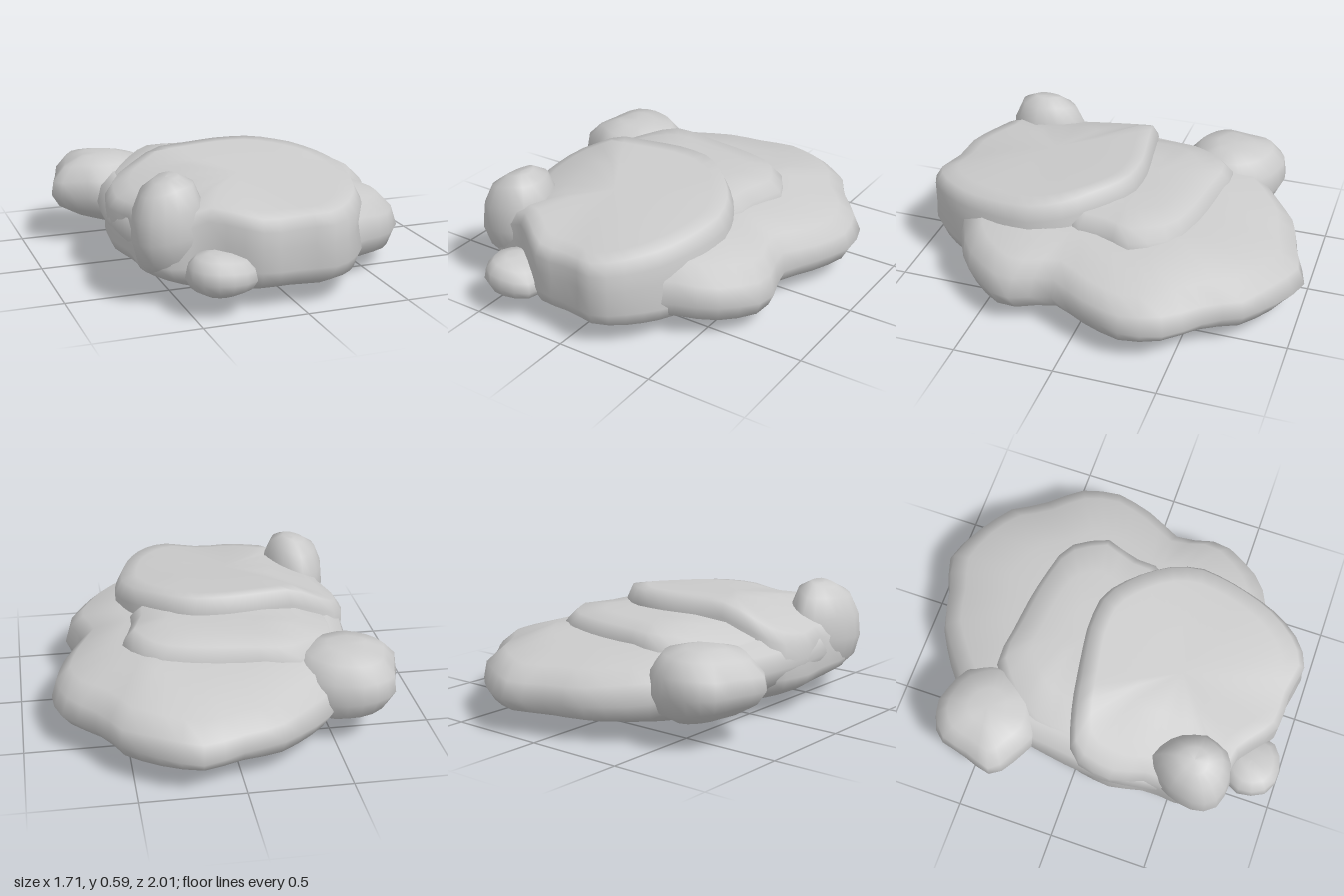
import * as THREE from 'three';

const material = new THREE.MeshStandardMaterial({ color: 0xcccccc });
const bump = (x, z, cx, cz, r) => Math.exp(-((x - cx) ** 2 + (z - cz) ** 2) / (r * r));

// Profiles from bottom to top: [outline scale, height fraction]
const ROUND = [[0, 0], [0.45, 0], [0.8, 0.04], [0.95, 0.2], [1, 0.45], [0.97, 0.75], [0.87, 0.94], [0.6, 1], [0.3, 1], [0, 1]];
const STEEP = [[0, 0], [0.45, 0], [0.84, 0.04], [0.95, 0.12], [1, 0.3], [0.98, 0.6], [0.99, 0.85], [0.93, 0.99], [0.8, 1], [0.4, 1], [0, 1]];
const BALL = [[0, 0], [0.5, 0.04], [0.85, 0.2], [1, 0.45], [0.95, 0.72], [0.72, 0.93], [0.35, 1], [0, 1]];

// Stone slab: a closed [x, z] outline swept through a profile between two height fields
function slab(name, outline, bottom, top, profile, segments, wobble = 0.01) {
  const curve = new THREE.CatmullRomCurve3(
    outline.map(([x, z]) => new THREE.Vector3(x, 0, z)), true, 'catmullrom', 0.35);
  const ring = curve.getSpacedPoints(segments).slice(0, segments);
  const centre = ring.reduce((s, p) => s.add(p), new THREE.Vector3()).divideScalar(segments);
  const positions = [], index = [];
  profile.forEach(([scale, t], i) => {
    ring.forEach((p, j) => {
      const a = (j / segments) * Math.PI * 2;
      const k = scale * (1 + wobble * Math.sin(a * 7 + i * 1.9) * Math.sin(t * Math.PI));
      const x = centre.x + (p.x - centre.x) * k;
      const z = centre.z + (p.z - centre.z) * k;
      positions.push(x, THREE.MathUtils.lerp(bottom(x, z), top(x, z), t), z);
      if (i === profile.length - 1) return;
      const n = (j + 1) % segments, lo = i * segments, hi = lo + segments;
      if (profile[i + 1][0] > 0) index.push(lo + j, hi + j, hi + n);
      if (scale > 0) index.push(lo + j, hi + n, lo + n);
    });
  });
  const geometry = new THREE.BufferGeometry();
  geometry.setAttribute('position', new THREE.Float32BufferAttribute(positions, 3));
  geometry.setIndex(index);
  geometry.computeVertexNormals();
  const mesh = new THREE.Mesh(geometry, material);
  mesh.name = name;
  return mesh;
}

export function createModel() {
  const rock = new THREE.Group();
  rock.name = 'rock';

  // Broad bottom ledge
  const underside = (x, z) => 0.055 - 0.055 * bump(x, z, -0.13, 0.35, 0.4)
    - 0.03 * bump(x, z, 0.62, 0.4, 0.25) + 0.3 * Math.max(0, -x - 0.42);
  rock.add(slab('baseLedge', [
    [0.2, -1], [0.4, -0.92], [0.57, -0.79], [0.63, -0.66], [0.8, -0.47], [0.85, -0.27], [0.78, -0.05],
    [0.69, 0.13], [0.75, 0.35], [0.7, 0.47], [0.58, 0.62], [0.4, 0.71], [0.2, 0.8], [-0.2, 0.8],
    [-0.5, 0.7], [-0.65, 0.5], [-0.7, 0.2], [-0.66, -0.2], [-0.62, -0.45], [-0.45, -0.7], [-0.2, -0.89], [0, -0.94],
  ], underside,
  (x, z) => 0.41 - 0.22 * Math.max(0, x - 0.4) - 0.17 * Math.max(0, -z - 0.45), ROUND, 52));

  // Middle terrace behind the top block
  rock.add(slab('middleTerrace', [
    [-0.35, -0.52], [-0.1, -0.5], [0.15, -0.47], [0.38, -0.4], [0.5, -0.2], [0.44, -0.06],
    [0.4, 0.15], [0, 0.3], [-0.4, 0.2], [-0.62, 0], [-0.6, -0.28],
  ], () => 0.2, (x, z) => 0.485 - 0.05 * Math.max(0, -z - 0.3) - 0.35 * Math.max(0, -x - 0.35), ROUND, 32));

  // Tall front block with a gently tilted flat top
  rock.add(slab('topBlock', [
    [-0.05, -0.14], [0.15, -0.12], [0.3, -0.01], [0.42, 0.13], [0.48, 0.3], [0.46, 0.5], [0.4, 0.7],
    [0.3, 0.86], [0.17, 0.96], [0, 0.93], [-0.2, 0.92], [-0.4, 0.78], [-0.6, 0.74], [-0.68, 0.6],
    [-0.66, 0.4], [-0.71, 0.2], [-0.67, 0], [-0.52, -0.06], [-0.3, -0.1],
  ], (x, z) => 0.02 + 0.12 * Math.max(0, z - 0.4) + 0.3 * Math.max(0, -x - 0.4),
  (x, z) => 0.57 - 0.115 * (z + 0.1) - 0.5 * Math.max(0, -x - 0.4) - 0.12 * Math.max(0, x - 0.3)
    - 0.03 * bump(x, z, -0.1, 0.95, 0.2), STEEP, 44));

  // Raised shoulder on the front right corner
  rock.add(slab('frontShoulder', [
    [-0.55, 0.36], [-0.42, 0.44], [-0.36, 0.6], [-0.42, 0.74], [-0.56, 0.78], [-0.67, 0.74], [-0.71, 0.65], [-0.67, 0.48],
  ], () => 0.12, (x, z) => 0.59 - 0.3 * Math.max(0, -x - 0.5) - 0.3 * Math.max(0, 0.5 - z), BALL, 18));

  // Rounded lobe at the back right corner
  rock.add(slab('backLobe', [
    [-0.6, -0.74], [-0.42, -0.68], [-0.3, -0.5], [-0.36, -0.28], [-0.6, -0.2], [-0.75, -0.27],
    [-0.86, -0.35], [-0.82, -0.5], [-0.78, -0.65], [-0.7, -0.72],
  ], (x) => 0.08 + 0.2 * Math.max(0, -x - 0.5),
  (x) => 0.445 - 0.3 * Math.max(0, -x - 0.7), BALL, 24));

  // Small nub low on the front face
  rock.add(slab('frontNub', [
    [-0.38, 0.68], [-0.22, 0.78], [-0.21, 0.92], [-0.28, 0.98], [-0.4, 1], [-0.5, 0.94], [-0.52, 0.8],
  ], () => 0.09, (x) => 0.285 - 0.15 * Math.max(0, x + 0.4), BALL, 14));

  return rock;
}
